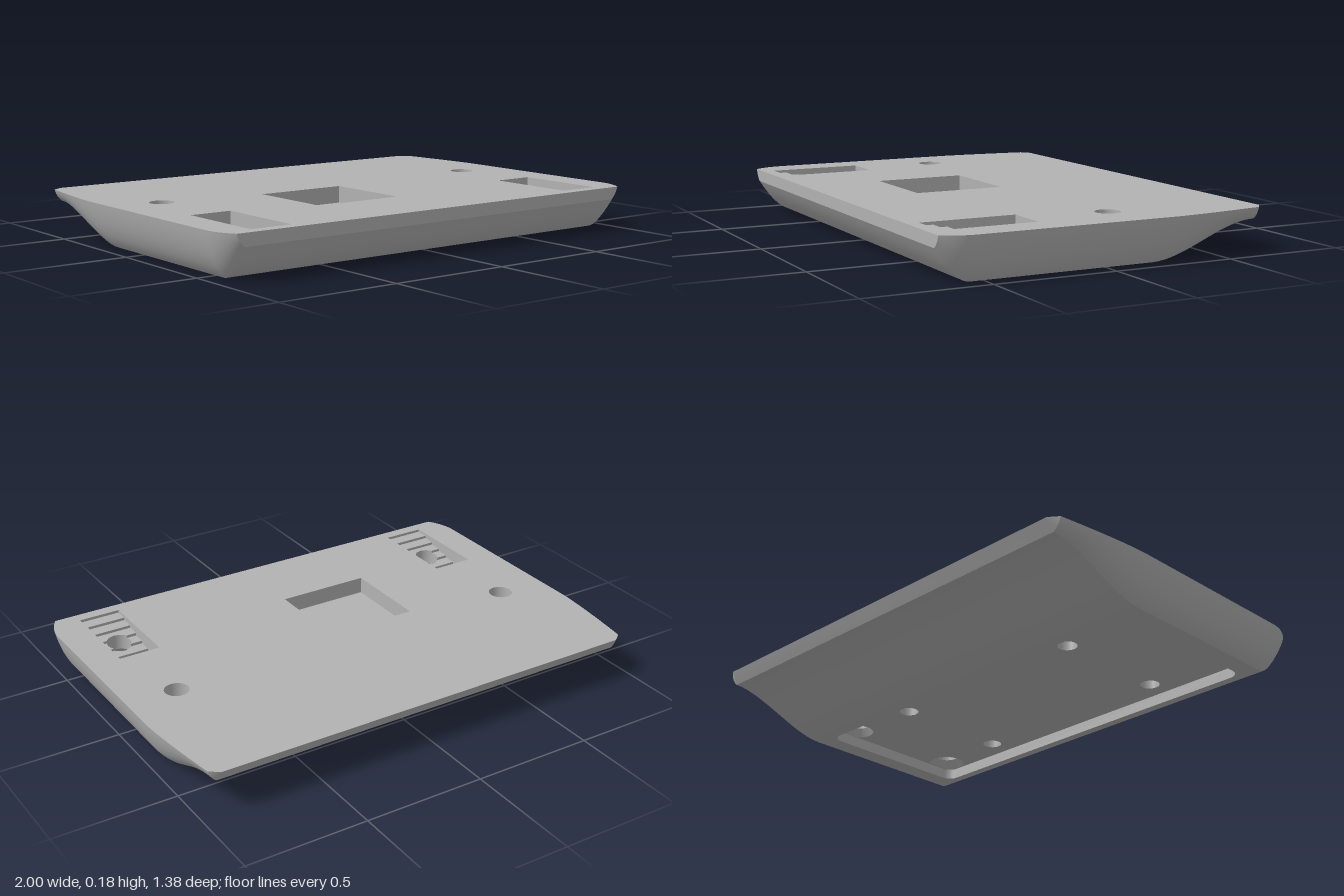
import * as THREE from 'three';
import { toCreasedNormals } from 'three/addons/utils/BufferGeometryUtils.js';

const TOP = 0.18, FLOOR = 0.045, INNER = 0.92;

export function createModel() {
  const model = new THREE.Group();
  const grey = new THREE.MeshStandardMaterial({ color: 0xb2b2b2, side: THREE.DoubleSide });
  grey.name = 'plain grey';

  const add = (name, geometry) => {
    const mesh = new THREE.Mesh(geometry, grey);
    mesh.name = name;
    model.add(mesh);
  };
  const fromTriangles = (positions) => {
    const g = new THREE.BufferGeometry();
    g.setAttribute('position', new THREE.Float32BufferAttribute(positions, 3));
    return toCreasedNormals(g, 0.5);
  };

  // Outlines in [x, z]
  const rect = (x0, x1, z0, z1) => [[x0, z0], [x1, z0], [x1, z1], [x0, z1]];
  const circle = (cx, cz, r, n = 32) => Array.from({ length: n }, (_, i) => {
    const a = (i / n) * Math.PI * 2;
    return [cx + r * Math.cos(a), cz + r * Math.sin(a)];
  });
  const roundRect = (x0, x1, z0, z1, r) => {
    const corners = [[x1 - r, z1 - r], [x0 + r, z1 - r], [x0 + r, z0 + r], [x1 - r, z0 + r]];
    return corners.flatMap(([cx, cz], k) => Array.from({ length: 7 }, (_, i) => {
      const a = (k + i / 6) * Math.PI / 2;
      return [cx + r * Math.cos(a), cz + r * Math.sin(a)];
    }));
  };

  // Horizontal face with holes, facing up (dir 1) or down (dir -1)
  const flat = (name, outline, holes, y, dir) => {
    const vec = (pts) => pts.map(([x, z]) => new THREE.Vector2(x, -dir * z));
    const shape = new THREE.Shape(vec(outline));
    holes.forEach((h) => shape.holes.push(new THREE.Path(vec(h))));
    add(name, new THREE.ShapeGeometry(shape).rotateX(-dir * Math.PI / 2).translate(0, y, 0));
  };

  // Inward-facing wall between two matching loops; the upper height may vary with z
  const wall = (name, low, high, y0, y1) => {
    const topY = typeof y1 === 'function' ? y1 : () => y1;
    const p = [];
    low.forEach((a, i) => {
      const k = (i + 1) % low.length;
      const b = low[k], c = high[k], d = high[i];
      const A = [a[0], y0, a[1]], B = [b[0], y0, b[1]];
      const C = [c[0], topY(c[1]), c[1]], D = [d[0], topY(d[1]), d[1]];
      p.push(...A, ...B, ...C, ...A, ...C, ...D);
    });
    add(name, fromTriangles(p));
  };

  // Outer shell: cross-sections from the front to the back
  const underside = (z) => {
    if (z > 0.56) return 0.13 * ((z - 0.56) / 0.13) ** 1.6;
    if (z >= -0.2) return 0;
    const t = (-0.2 - z) / 0.46;
    return 0.13 * t * t * (3 - 2 * t);
  };
  const halfWidth = (z) => {
    if (z > 0.56) return 1 - 0.045 * ((z - 0.56) / 0.13) ** 2;
    return z > -0.25 ? 1 : 1 - 0.045 * ((-0.25 - z) / 0.41) ** 1.4;
  };
  const stations = [];
  for (let i = 0; i <= 8; i++) stations.push(0.69 - 0.13 * i / 8);
  for (let i = 0; i <= 16; i++) stations.push(-0.2 - 0.46 * i / 16);
  const sections = stations.map((z) => ({ z, w: halfWidth(z), b: underside(z), inner: INNER }));
  sections.push({ z: -0.69, w: 0.915, b: TOP, inner: 0.915 });

  const N = 10;
  const rings = sections.map(({ z, w, b, inner }) => {
    const half = [];
    for (let j = 0; j <= N; j++) {
      const t = 1 - j / N, a = t * Math.PI / 2;
      const u = (t + Math.sin(a)) / 2, v = (t + 1 - Math.cos(a)) / 2;
      half.push([inner + (w - inner) * u, b + (TOP - b) * v, z]);
    }
    return [...half, ...half.slice().reverse().map(([x, y, zz]) => [-x, y, zz])];
  });
  const shell = [];
  for (let i = 0; i < rings.length - 1; i++) {
    for (let j = 0; j < 2 * N + 1; j++) {
      if (j === N && sections[i].b < 1e-6 && sections[i + 1].b < 1e-6) continue;
      const a = rings[i][j], b = rings[i][j + 1], c = rings[i + 1][j + 1], d = rings[i + 1][j];
      shell.push(...a, ...b, ...d, ...b, ...c, ...d);
    }
  }
  for (let k = 1; k < 2 * N + 1; k++) shell.push(...rings[0][0], ...rings[0][k + 1], ...rings[0][k]);
  add('outerShell', fromTriangles(shell));

  // Top face with its openings
  const square = rect(-0.35, 0.04, -0.03, 0.35);
  const R = 0.05, PX = 0.777, PW = 0.0875, PZ0 = 0.25, PZ1 = 0.64, HZ = 0.45, STEPS = 7;
  const stepPocket = (s) => rect(s * PX - PW, s * PX + PW, PZ0, PZ1);
  const backHole = (s, r) => circle(s * 0.785, -0.09, r);
  const frontHole = (s, r) => circle(s * PX, HZ, r);
  const blindHole = (s, z) => circle(s * 0.46, z, 0.04);
  const sides = [1, -1];
  const outline = [
    ...sections.map(({ w, z }) => [w, z]),
    ...sections.slice().reverse().map(({ w, z }) => [-w, z]),
  ];
  flat('topFace', outline,
    [square, ...sides.map((s) => backHole(s, R)), ...sides.map(stepPocket)], TOP, 1);

  // Square pocket
  wall('squarePocketWall', square, square, 0.11, TOP);
  flat('squarePocketFloor', square, [], 0.11, 1);

  // Underside rim and recess
  const recess = roundRect(-0.84, 0.84, -0.185, 0.53, 0.045);
  flat('undersideRim', rect(-INNER, INNER, -0.2, 0.56), [recess], 0, -1);
  wall('recessWall', recess, recess, 0, FLOOR);
  flat('recessFloor', recess, sides.flatMap((s) => [
    backHole(s, 0.068), frontHole(s, 0.078), blindHole(s, -0.08), blindHole(s, 0.43),
  ]), FLOOR, -1);

  // Stepped pockets, screw holes and blind holes on both sides
  const stepY = (i) => 0.1 + (TOP - 0.1) * i / STEPS;
  const stepZ = (i) => PZ0 + (PZ1 - PZ0) * i / STEPS;
  const stepAt = (z) => stepY(Math.floor((z - PZ0) / (PZ1 - PZ0) * STEPS));
  const gap = (z) => Math.sqrt(Math.max(0, R * R - (z - HZ) ** 2));
  for (const s of sides) {
    const pocket = stepPocket(s), cx = s * PX;
    wall('steppedPocketWall', pocket, pocket, 0.1, TOP);
    for (let i = 0; i < STEPS; i++) {
      const z0 = stepZ(i), z1 = stepZ(i + 1);
      for (const e of sides) {
        // tread half, cut back around the screw hole
        const edge = Array.from({ length: 9 }, (_, k) => {
          const z = z1 + (z0 - z1) * k / 8;
          return [cx + e * gap(z), z];
        });
        flat('stepTread', [[cx + e * PW, z0], [cx + e * PW, z1], ...edge], [], stepY(i), 1);
        // riser half, facing the back
        const width = PW - gap(z1);
        add('stepRiser', new THREE.PlaneGeometry(width, stepY(1) - stepY(0)).rotateY(Math.PI)
          .translate(cx + e * (PW - width / 2), (stepY(i) + stepY(i + 1)) / 2, z1));
      }
    }
    wall('frontCountersink', frontHole(s, 0.078), frontHole(s, R), FLOOR, 0.08);
    wall('frontScrewHole', frontHole(s, R), frontHole(s, R), 0.08, stepAt);
    wall('backCountersink', backHole(s, 0.068), backHole(s, R), FLOOR, 0.08);
    wall('backScrewHole', backHole(s, R), backHole(s, R), 0.08, TOP);
    for (const z of [-0.08, 0.43]) {
      wall('blindHoleWall', blindHole(s, z), blindHole(s, z), FLOOR, 0.1);
      flat('blindHoleEnd', blindHole(s, z), [], 0.1, -1);
    }
  }
  return model;
}
